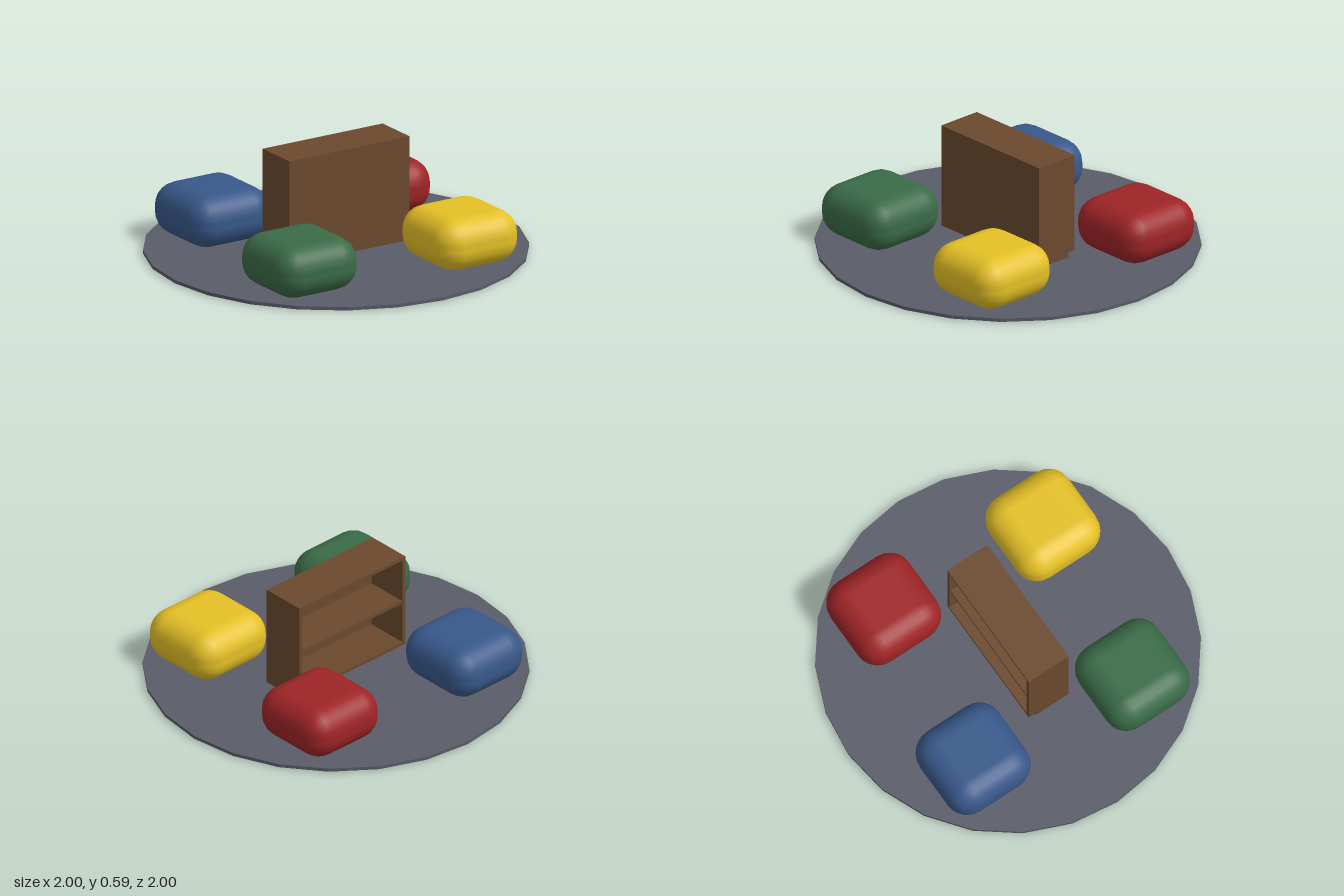
import * as THREE from 'three';
import { RoundedBoxGeometry } from 'three/addons/geometries/RoundedBoxGeometry.js';

function makeMaterial(name, color) {
  const m = new THREE.MeshStandardMaterial({ color });
  m.name = name;
  return m;
}

export function createModel() {
  const group = new THREE.Group();
  group.name = 'readingCorner';

  const grey = makeMaterial('rug grey', 0x5a5c68);
  const wood = makeMaterial('wood brown', 0x6b4a2e);

  // Round rug with 24 sides
  const rugGeometry = new THREE.CylinderGeometry(1, 1, 0.018, 24).toNonIndexed();
  rugGeometry.computeVertexNormals();
  const rug = new THREE.Mesh(rugGeometry, grey);
  rug.name = 'rug';
  rug.position.y = 0.012;
  group.add(rug);

  // Bookcase, open towards -z
  const bookcase = new THREE.Group();
  bookcase.name = 'bookcase';
  group.add(bookcase);
  const W = 0.745, H = 0.586, D = 0.25, T = 0.02, KICK = 0.05;
  function panel(name, w, h, d, x, y, z) {
    const mesh = new THREE.Mesh(new THREE.BoxGeometry(w, h, d), wood);
    mesh.name = name;
    mesh.position.set(x, y, z);
    bookcase.add(mesh);
  }
  const inner = W - 2 * T;
  for (const [name, s] of [['leftSide', 1], ['rightSide', -1]]) {
    panel(name, T, H - KICK, D, s * (W - T) / 2, (H + KICK) / 2, 0);
  }
  panel('topBoard', inner, T, D, 0, H - T / 2, 0);
  panel('backPanel', inner, H - T - KICK, 0.015, 0, (H - T + KICK) / 2, D / 2 - 0.0075);
  panel('bottomShelf', inner, T, D - 0.015, 0, KICK + T / 2, -0.0075);
  panel('middleShelf', inner, T, D - 0.02, 0, 0.31, -0.005);
  // Recessed plinth
  panel('plinth', W, KICK, 0.205, 0, KICK / 2, 0.0225);

  // Four floor cushions, each a quarter turn on from the last
  const cushionGeometry = new RoundedBoxGeometry(0.497, 0.28, 0.497, 3, 0.125);
  const cushions = [
    ['red', 0x9e2427],
    ['blue', 0x38588a],
    ['green', 0x3a6b47],
    ['yellow', 0xe4c026],
  ];
  cushions.forEach(([name, color], i) => {
    const cushion = new THREE.Mesh(cushionGeometry, makeMaterial(name + ' fabric', color));
    cushion.name = name + 'Cushion';
    cushion.position.set(0.512, 0.156, -0.428)
      .applyAxisAngle(new THREE.Vector3(0, 1, 0), i * Math.PI / 2);
    cushion.rotation.y = i * Math.PI / 2;
    group.add(cushion);
  });

  return group;
}
